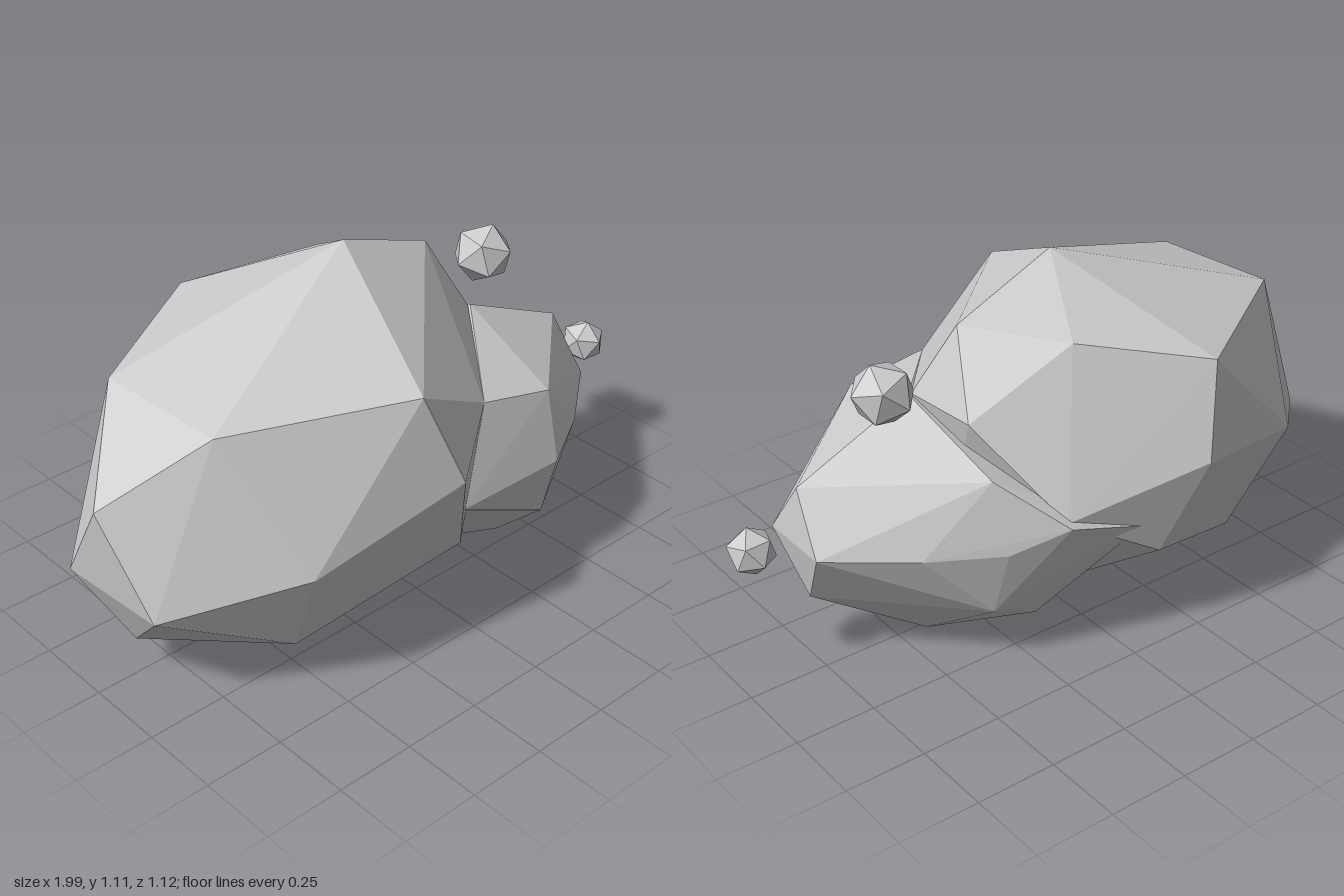
import * as THREE from 'three';
import { ConvexGeometry } from 'three/addons/geometries/ConvexGeometry.js';

const material = new THREE.MeshStandardMaterial({ color: 0xcccccc, flatShading: true });

// Faceted boulder: the hull around a few corner points
function rock(name, corners) {
  const geometry = new ConvexGeometry(corners.map((c) => new THREE.Vector3(...c)));
  const mesh = new THREE.Mesh(geometry, material);
  mesh.name = name;
  return mesh;
}

// Small floating fragment with twenty facets
function fragment(name, radius, position, rotation) {
  const mesh = new THREE.Mesh(new THREE.IcosahedronGeometry(radius, 0), material);
  mesh.name = name;
  mesh.position.set(...position);
  mesh.rotation.set(...rotation);
  return mesh;
}

export function createModel() {
  const group = new THREE.Group();
  group.name = 'asteroid';

  group.add(rock('mainRock', [
    // crown
    [-0.06, 1.11, -0.01], [0.29, 0.98, -0.04], [0.07, 0.95, -0.28],
    [-0.22, 0.88, 0.49], [-0.29, 0.87, -0.48], [-0.74, 0.86, 0.25], [-0.77, 0.87, -0.17],
    // waist
    [-0.12, 0.60, 0.56], [-0.21, 0.60, -0.56], [-0.60, 0.46, 0.48], [-0.66, 0.50, -0.42],
    [-1.00, 0.65, 0.06], [-0.95, 0.35, 0.23], [-0.98, 0.36, -0.12],
    // end facing the smaller rock
    [0.39, 0.76, 0.05], [0.37, 0.76, -0.20], [0.12, 0.68, 0.39], [0.20, 0.49, -0.43],
    [0.30, 0.35, 0.00],
    // underside
    [-0.04, 0.31, 0.47], [-0.10, 0.31, -0.48], [-0.57, 0.16, 0.36], [-0.52, 0.16, -0.32],
    [-0.86, 0.12, 0.00], [-0.45, 0.01, 0.00], [0.03, 0.09, 0.10], [0.03, 0.09, -0.16],
  ]));

  group.add(rock('smallRock', [
    // tip
    [0.78, 0.59, 0.05], [0.76, 0.22, 0.05], [0.80, 0.415, 0.17], [0.80, 0.415, -0.07],
    // middle ring
    [0.57, 0.415, 0.35], [0.36, 0.415, 0.47], [0.57, 0.415, -0.25], [0.36, 0.415, -0.37],
    [0.20, 0.48, -0.45], [-0.03, 0.42, 0.47], [-0.03, 0.42, -0.48],
    // top
    [0.40, 0.76, 0.05], [0.37, 0.63, 0.41], [0.37, 0.63, -0.31], [0.12, 0.68, 0.39],
    // underside
    [0.41, 0.00, -0.02], [0.38, 0.025, 0.22], [0.37, 0.20, 0.41], [0.37, 0.20, -0.31],
    [0.20, 0.11, -0.28], [0.03, 0.06, -0.16], [0.03, 0.07, 0.10],
  ]));

  group.add(fragment('upperFragment', 0.097, [0.545, 0.85, -0.045], [0.3, 0.5, 0.2]));
  group.add(fragment('outerFragment', 0.073, [0.928, 0.437, 0.06], [0.2, 0.3, 0.5]));
  return group;
}
